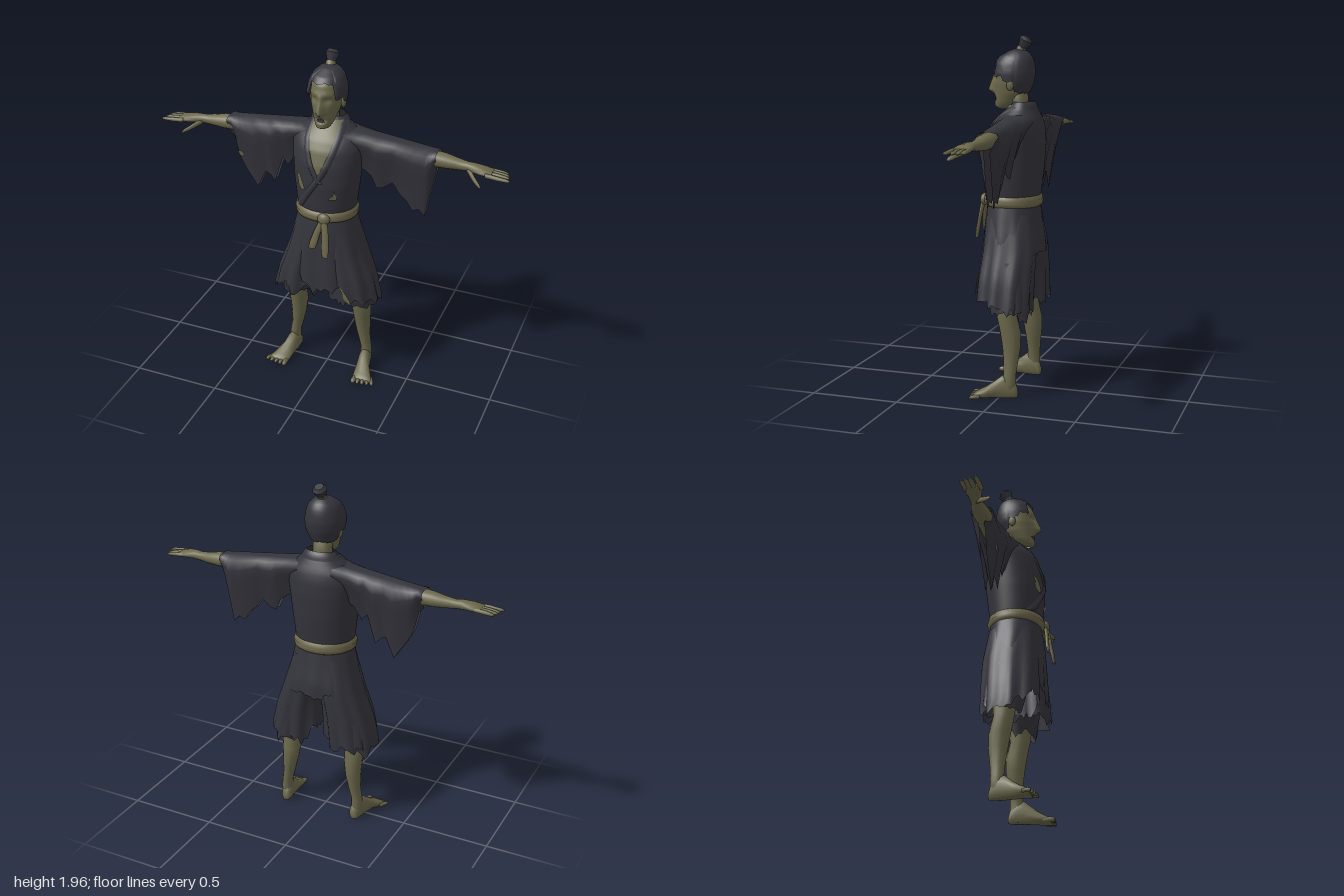
import * as THREE from 'three';

const material = (name, color) => new THREE.MeshStandardMaterial({ name, color, side: THREE.DoubleSide });
const hash = (i) => { const v = Math.sin(i * 127.1 + 3.7) * 43758.5453; return v - Math.floor(v); };
const tear = (i, seed) => hash(Math.floor(i / 3) + seed) * 1.2 + hash(i + seed * 7) * 0.8 - 1;
const TAU = Math.PI * 2;

// Cross-section tables: [y, half width, front z, back z, centre x]
const TORSO = [[1.605, .08, -.01, -.115], [1.58, .098, .012, -.13], [1.54, .138, .055, -.148], [1.5, .19, .09, -.165],
  [1.45, .2, .12, -.176], [1.37, .192, .145, -.18], [1.25, .182, .155, -.172], [1.12, .168, .145, -.156], [1.03, .157, .13, -.145]];
const SKIRT = [[1.06, .16, .132, -.148], [.95, .185, .148, -.165], [.85, .21, .154, -.183], [.7, .238, .16, -.19], [.55, .255, .162, -.19]];
const PANTS = [[1, .085, .12, -.14, .08], [.8, .115, .135, -.165, .11], [.65, .133, .145, -.16, .146], [.5, .148, .148, -.155, .165], [.4, .15, .145, -.155, .17]];
const CUFF = [[.75, .11, .1, -.14, .13], [.6, .108, .085, -.15, .17], [.48, .1, .055, -.152, .195], [.4, .098, .045, -.15, .2]];
const HEAD = [[1.895, .005, -.03, -.045], [1.88, .035, .01, -.07], [1.85, .065, .06, -.1], [1.81, .08, .09, -.113], [1.76, .084, .105, -.113],
  [1.7, .08, .105, -.103], [1.65, .068, .103, -.08], [1.6, .05, .103, -.03], [1.575, .036, .1, .01], [1.563, .008, .075, .05]];
const HAIR = [[1.893, .005, -.03, -.045], [1.882, .045, .015, -.075], [1.85, .082, .072, -.108], [1.81, .099, .103, -.12], [1.76, .108, .115, -.125],
  [1.71, .105, .11, -.116], [1.65, .08, .1, -.092]];

function sample(table, y) {
  let i = 0;
  while (i < table.length - 2 && y < table[i + 1][0]) i++;
  const a = table[i], b = table[i + 1];
  const k = THREE.MathUtils.clamp((a[0] - y) / (a[0] - b[0]), 0, 1);
  const mix = (n) => (a[n] ?? 0) + ((b[n] ?? 0) - (a[n] ?? 0)) * k;
  return { rx: mix(1), cz: (mix(2) + mix(3)) / 2, rz: (mix(2) - mix(3)) / 2, cx: mix(4) };
}
const P = 2.1;
function around(table, a, y, grow = 0) {
  const q = sample(table, y), bend = (v) => Math.sign(v) * Math.abs(v) ** (2 / P);
  return [q.cx + (q.rx + grow) * bend(Math.cos(a)), y, q.cz + (q.rz + grow) * bend(Math.sin(a))];
}
function frontZ(table, x, y) {
  const q = sample(table, y), u = Math.min(1, Math.abs((x - q.cx) / q.rx));
  return q.cz + q.rz * (1 - u ** P) ** (1 / P);
}

// Surface from a grid of points; side -1 mirrors it in x
function grid(rows, cols, fn, closed, side = 1) {
  const pos = [], idx = [], w = closed ? cols : cols + 1;
  for (let j = 0; j <= rows; j++) for (let i = 0; i < w; i++) {
    const p = fn(j, i);
    pos.push(p[0] * side, p[1], p[2]);
  }
  for (let j = 0; j < rows; j++) for (let i = 0; i < cols; i++) {
    const a = j * w + i, b = j * w + (i + 1) % w, c = a + w, d = b + w;
    idx.push(...(side > 0 ? [a, b, c, b, d, c] : [a, c, b, b, c, d]));
  }
  const g = new THREE.BufferGeometry();
  g.setAttribute('position', new THREE.Float32BufferAttribute(pos, 3));
  g.setIndex(idx);
  g.computeVertexNormals();
  return g;
}
// Hanging shell from a top height to a hem that may vary round it
function drape(table, top, hem, rows, cols, side = 1, shape = (p) => p) {
  return grid(rows, cols, (j, i) => {
    const a = i / cols * TAU, y = top + (hem(a, i) - top) * j / rows;
    return shape(around(table, a, y), a, j / rows);
  }, true, side);
}
// Closed limb along an axis: [position, centre 1, centre 2, radius 1, radius 2]
function limb(axis, list, side = 1, cols = 14) {
  const ends = [list[0], list[list.length - 1]].map((s) => [s[0], s[1], s[2], 0, 0]);
  const s = [ends[0], ...list, ends[1]];
  return grid(s.length - 1, cols, (j, i) => {
    const [t, c1, c2, r1, r2] = s[j], a = i / cols * TAU;
    const u = c1 + r1 * Math.cos(a), v = c2 + r2 * Math.sin(a);
    return axis === 'x' ? [t, u, v] : axis === 'y' ? [u, t, v] : [u, Math.max(0, v), t];
  }, true, side);
}
function patch(points, zAt) {
  const g = new THREE.ShapeGeometry(new THREE.Shape(points.map((p) => new THREE.Vector2(...p))));
  const p = g.attributes.position;
  for (let i = 0; i < p.count; i++) p.setZ(i, zAt(p.getX(i), p.getY(i)));
  g.computeVertexNormals();
  return g;
}

export function createModel() {
  const model = new THREE.Group();
  const cloth = material('dark cloth', 0x34343c), skin = material('olive skin', 0x6b684b);
  const rope = material('belt cloth', 0x6d684c), hairMat = material('hair', 0x34343c), dark = material('mouth dark', 0x35333a);
  const add = (name, geometry, mat, parent = model) => {
    const m = new THREE.Mesh(geometry, mat);
    m.name = name;
    parent.add(m);
    return m;
  };

  // Head with nose, brow and eye sockets shaped in
  const bump = (x, y, x0, y0, sx, sy) => Math.exp(-(((x - x0) / sx) ** 2) - ((y - y0) / sy) ** 2);
  add('head', drape(HEAD, 1.895, () => 1.563, 48, 64, 1, ([x, y, z]) => {
    if (z > .03) {
      const n = THREE.MathUtils.clamp((1.77 - y) / .1, 0, 1) * THREE.MathUtils.clamp((y - 1.645) / .02, 0, 1);
      z += .038 * n * Math.exp(-((x / (.01 + .01 * n)) ** 2));
      z -= .013 * bump(Math.abs(x), y, .035, 1.735, .02, .016) + .022 * bump(x, y, 0, 1.622, .026, .012);
      z += .004 * bump(Math.abs(x), y, .035, 1.77, .03, .012);
    }
    return [x, y, z];
  }), skin);
  add('mouth', patch([[-.025, 1.612], [-.012, 1.608], [.012, 1.608], [.025, 1.612], [.018, 1.628], [0, 1.634], [-.018, 1.628]],
    (x, y) => frontZ(HEAD, x, y) - .004), dark);
  add('neck', limb('y', [[1.68, 0, -.03, .055, .05], [1.6, 0, -.04, .052, .048], [1.5, 0, -.05, .06, .055]]), skin);

  // Hair cap, tied topknot and ears
  add('hair', drape(HAIR, 1.893, (a, i) => {
    const f = Math.sin(a);
    return (f > .72 ? 1.822 : f > .25 ? 1.745 : f > -.25 ? 1.715 : 1.655) + (hash(i) - .5) * .012;
  }, 14, 56), hairMat);
  const knot = new THREE.Group();
  knot.name = 'topknot';
  knot.position.set(0, 1.883, -.045);
  knot.rotation.x = -.5;
  model.add(knot);
  add('knotBand', new THREE.CylinderGeometry(.026, .029, .032, 10), rope, knot);
  add('knotHair', new THREE.CylinderGeometry(.041, .022, .05, 8), hairMat, knot).position.y = .035;
  add('knotTip', new THREE.CylinderGeometry(.026, .041, .018, 8), hairMat, knot).position.y = .069;
  for (const s of [1, -1]) {
    const ear = add('ear', new THREE.SphereGeometry(.03, 10, 8), skin);
    ear.scale.set(.45, 1.1, .7);
    ear.position.set(s * .088, 1.7, -.012);
  }

  // Robe body, bare chest and crossed lapels
  add('robeBody', drape(TORSO, 1.605, () => 1.03, 30, 64), cloth);
  add('chest', grid(20, 12, (j, i) => {
    const k = j / 20, y = 1.59 - .26 * k, l = -.083 + .083 * k ** 1.6, r = .083 - .073 * k ** 1.6;
    const x = r + (l - r) * i / 12;
    return [x, y, frontZ(TORSO, x, y) + .005];
  }, false), skin);
  const lapel = (path, width) => {
    const curve = new THREE.CatmullRomCurve3(path.map((p) => new THREE.Vector3(p[0], p[1], 0)));
    return grid(24, 4, (j, i) => {
      const p = curve.getPoint(j / 24), x = p.x + width * (.5 - i / 4);
      return [x, p.y, frontZ(TORSO, x, p.y) + (i % 4 ? .01 : .002)];
    }, false);
  };
  add('underLapel', lapel([[-.092, 1.58], [-.082, 1.5], [-.055, 1.4], [-.02, 1.33], [.015, 1.28]], .036), cloth);
  add('overLapel', lapel([[.092, 1.58], [.085, 1.5], [.058, 1.4], [.024, 1.33], [-.045, 1.22], [-.12, 1.1]], .04), cloth);
  add('collar', grid(4, 24, (j, i) => around(TORSO, Math.PI + Math.PI * i / 24, 1.608 - j * .011, [.001, .005, .005, .002, 0][j]), false), cloth);
  const torsoZ = (x, y) => frontZ(TORSO, x, y) + .009;
  add('robeTear', patch([[-.13, 1.312], [-.105, 1.305], [-.085, 1.27], [-.07, 1.232], [-.09, 1.215], [-.112, 1.235], [-.118, 1.275]], torsoZ), skin);
  add('robeTear', patch([[.092, 1.248], [.1, 1.222], [.108, 1.215], [.106, 1.183], [.066, 1.186], [.07, 1.202], [.088, 1.212]], torsoZ), skin);

  // Sleeves: ragged lower edge given as [x, bottom y]
  const profile = [[-.25, 0], [-.5, .3], [-.82, .6], [-1, .78], [-.85, .93], [-.4, 1], [.4, 1], [.85, .93], [1, .78], [.82, .6], [.5, .3], [.25, 0]];
  const sleeve = (edge, side) => grid(edge.length - 1, profile.length - 1, (j, i) => {
    const [x, low] = edge[j], k = (x - .1) / .5, top = 1.543 - .055 * k, t = Math.sqrt(Math.min(1, k));
    return [x, low + (top - low) * profile[i][1], -.045 - .015 * t + (.105 - .045 * t) * profile[i][0]];
  }, false, side);
  add('leftSleeve', sleeve([[.1, 1.36], [.15, 1.33], [.2, 1.31], [.24, 1.28], [.272, 1.21], [.31, 1.22], [.36, 1.26], [.4, 1.2], [.44, 1.165], [.476, 1.11],
    [.51, 1.125], [.545, 1.09], [.565, 1.2], [.585, 1.3], [.602, 1.385]], 1), cloth);
  add('rightSleeve', sleeve([[.1, 1.36], [.15, 1.34], [.2, 1.32], [.25, 1.25], [.28, 1.29], [.33, 1.13], [.36, 1.165], [.39, 1.18], [.44, 1.07],
    [.48, 1.13], [.52, 1.19], [.55, 1.25], [.575, 1.36], [.602, 1.39]], -1), cloth);
  add('sleeveTear', patch([[-.537, 1.302], [-.515, 1.307], [-.498, 1.288], [-.505, 1.265], [-.527, 1.272]], (x, y) => (y - 1.28) * .2 + .001), skin);

  // Belt with knot and hanging ends
  const beltRows = [[1.1, .158, .132, -.148], [1.092, .168, .147, -.158], [1.072, .174, .153, -.163], [1.068, .17, .149, -.159],
    [1.062, .175, .154, -.164], [1.043, .171, .149, -.16], [1.035, .158, .134, -.15]];
  add('belt', grid(6, 56, (j, i) => around(beltRows, i / 56 * TAU, beltRows[j][0], .002), true), rope);
  const beltKnot = add('beltKnot', new THREE.SphereGeometry(.036, 14, 10), rope);
  beltKnot.scale.set(1, .95, .65);
  beltKnot.position.set(.04, 1.065, .152);
  add('beltEnd', limb('y', [[1.06, .035, .155, .018, .012], [.98, .005, .165, .02, .01], [.92, -.012, .172, .023, .01], [.885, -.02, .178, .02, .008]], 1, 10), rope);
  add('beltEnd', limb('y', [[1.06, .045, .158, .018, .012], [.98, .055, .172, .021, .01], [.9, .06, .185, .022, .01], [.85, .063, .192, .018, .008]], 1, 10), rope);

  // Robe skirt over wide ragged trousers with narrower inner legs
  const fold = (count, depth) => ([x, y, z], a, k) => {
    const f = depth * k * Math.sin(a * count);
    return [x + f * Math.cos(a), y, z + f * Math.sin(a)];
  };
  add('robeSkirt', drape(SKIRT, 1.06, (a, i) => {
    const f = Math.sin(a);
    return (f > 0 ? .78 - .18 * f ** 3 : .78 - .01 * f) + tear(i, 4) * (f > -.3 ? .065 : .022);
  }, 12, 72, 1, fold(11, .006)), cloth);
  for (const s of [1, -1]) {
    add(s > 0 ? 'leftTrouser' : 'rightTrouser', drape(PANTS, 1, (a, i) =>
      .505 - .015 * Math.cos(a) + .045 * Math.sin(a) + tear(i, s > 0 ? 11 : 29) * .06, 12, 48, s, fold(9, .01)), cloth);
    add('innerTrouser', drape(CUFF, .75, (a, i) => .475 + tear(i, s > 0 ? 41 : 53) * .03, 6, 42, s, fold(7, .006)), cloth);
  }
  add('trouserTear', patch([[.12, .66], [.16, .63], [.2, .565], [.2, .54], [.165, .57], [.15, .62]], (x, y) => frontZ(PANTS, x, y) + .014), skin);

  for (const s of [1, -1]) {
    // Arm, hand and fingers
    const arm = new THREE.Group();
    arm.name = s > 0 ? 'leftArm' : 'rightArm';
    model.add(arm);
    add('forearm', limb('x', [[.3, 1.45, -.058, .045, .045], [.56, 1.443, -.055, .044, .048], [.64, 1.44, -.055, .04, .046], [.7, 1.436, -.054, .032, .036],
      [.76, 1.434, -.05, .025, .027], [.8, 1.435, -.043, .025, .035], [.85, 1.432, -.036, .022, .046], [.9, 1.426, -.034, .015, .047]], s), skin, arm);
    [[.006, 1], [-.025, .99], [-.047, .985], [-.069, .975]].forEach(([z, tip], i) =>
      add('finger', limb('x', [[.87, 1.428, z, .012, .0135], [.93, 1.424, z + .003 - i * .001, .012, .0135],
        [tip - .015, 1.421, z + .004 - i * .002, .009, .011], [tip, 1.419, z + .004 - i * .002, .004, .006]], s, 8), skin, arm));
    add('thumb', limb('x', [[.765, 1.425, -.04, .016, .018], [.795, 1.41, -.008, .017, .02], [.825, 1.393, .022, .014, .016],
      [.85, 1.38, .04, .011, .012], [.86, 1.374, .047, .005, .006]], s, 10), skin, arm);

    // Leg, foot and toes
    const leg = new THREE.Group();
    leg.name = s > 0 ? 'leftLeg' : 'rightLeg';
    model.add(leg);
    add('shin', limb('y', [[.75, .14, -.02, .075, .075], [.55, .185, -.025, .06, .062], [.45, .2, -.03, .056, .056], [.36, .198, -.05, .052, .058],
      [.28, .202, -.057, .044, .051], [.2, .211, -.057, .034, .041], [.13, .225, -.055, .03, .035], [.08, .227, -.053, .033, .038], [.03, .225, -.053, .03, .035]], s), skin, leg);
    add('foot', limb('z', [[-.098, .222, .022, .016, .02], [-.088, .222, .035, .027, .042], [-.05, .226, .055, .035, .072], [-.012, .231, .052, .036, .07],
      [.03, .238, .038, .041, .05], [.07, .25, .025, .051, .035], [.105, .26, .017, .058, .025], [.13, .265, .012, .056, .016]], s), skin, leg);
    for (let i = 0; i < 5; i++) {
      const x = .219 + i * .023, r = i ? .0115 : .015, tip = .157 - i * i * .001;
      add('toe', limb('z', [[.09, x, .013, r, r], [tip - .015, x + .004 * i, .012, r, r], [tip, x + .005 * i, .009, r * .7, r * .7]], s, 8), skin, leg);
    }
  }
  return model;
}
